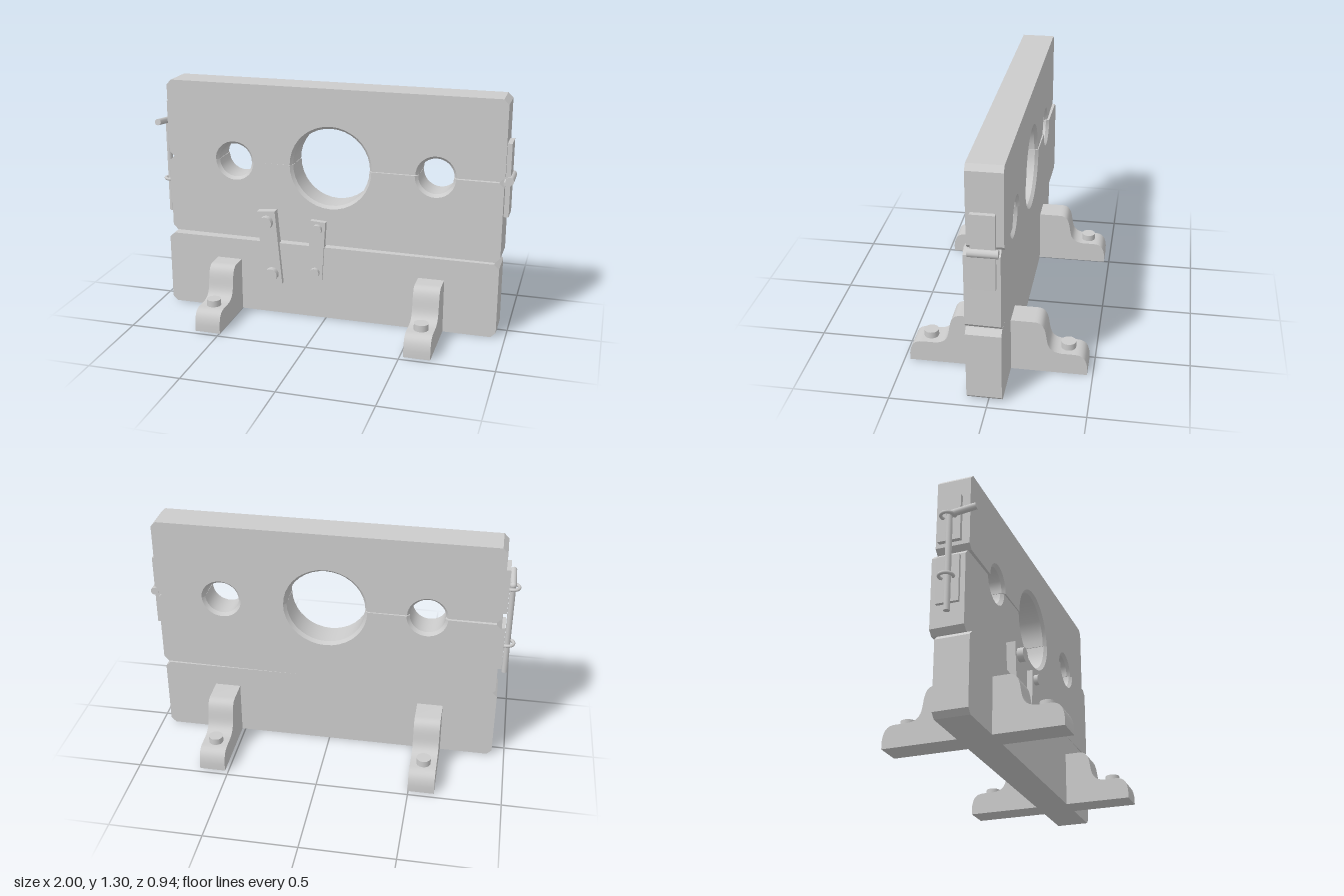
import * as THREE from 'three';
import { toCreasedNormals } from 'three/addons/utils/BufferGeometryUtils.js';

const grey = new THREE.MeshStandardMaterial({ color: 0xcccccc });

function part(parent, name, geometry, x = 0, y = 0, z = 0) {
  const mesh = new THREE.Mesh(geometry, grey);
  mesh.name = name;
  mesh.position.set(x, y, z);
  parent.add(mesh);
  return mesh;
}

const DEPTH = 0.18;
const CUT = 0.027; // clipped plank corners
const HOLES = [[-0.53, 0.095], [0.02, 0.215], [0.595, 0.095]];

// Plank with clipped corners; side = 1 cuts half holes in the top edge, -1 in the bottom edge
function plankGeometry(x0, x1, y0, y1, side = 0) {
  const s = new THREE.Shape();
  const edgeY = side > 0 ? y1 : y0;
  s.moveTo(x0, y0 + CUT);
  s.lineTo(x0 + CUT, y0);
  if (side < 0) for (const [x, r] of HOLES) {
    s.lineTo(x - r, y0);
    s.absarc(x, y0, r, Math.PI, 0, true);
  }
  s.lineTo(x1 - CUT, y0);
  s.lineTo(x1, y0 + CUT);
  s.lineTo(x1, y1 - CUT);
  s.lineTo(x1 - CUT, y1);
  if (side > 0) for (const [x, r] of [...HOLES].reverse()) {
    s.lineTo(x + r, y1);
    s.absarc(x, y1, r, 0, Math.PI, true);
  }
  s.lineTo(x0 + CUT, y1);
  s.lineTo(x0, y1 - CUT);
  const g = new THREE.ExtrudeGeometry(s, { depth: DEPTH, steps: side ? 10 : 1, bevelEnabled: false, curveSegments: 9 });
  g.translate(0, 0, -DEPTH / 2);
  // Flare the hole rims at the front and back faces
  if (side) {
    const p = g.attributes.position;
    for (let i = 0; i < p.count; i++) {
      if (Math.abs(p.getZ(i)) < DEPTH / 2 - 0.001) continue;
      for (const [x, r] of HOLES) {
        const dx = p.getX(i) - x, dy = p.getY(i) - edgeY;
        if (Math.hypot(dx, dy) > r + 0.002) continue;
        const k = (r + 0.015) / r;
        p.setXY(i, x + dx * k, edgeY + dy * k);
        break;
      }
    }
  }
  return toCreasedNormals(g, 0.5);
}

// Foot: symmetric stepped profile running front to back
function footGeometry(width) {
  const s = new THREE.Shape();
  s.moveTo(-0.47, 0);
  s.lineTo(0.47, 0);
  s.lineTo(0.47, 0.04);
  s.bezierCurveTo(0.465, 0.09, 0.45, 0.12, 0.4, 0.12);
  s.lineTo(0.335, 0.12);
  s.bezierCurveTo(0.27, 0.125, 0.262, 0.16, 0.255, 0.21);
  s.bezierCurveTo(0.247, 0.27, 0.235, 0.3, 0.19, 0.3);
  s.lineTo(-0.19, 0.3);
  s.bezierCurveTo(-0.235, 0.3, -0.247, 0.27, -0.255, 0.21);
  s.bezierCurveTo(-0.262, 0.16, -0.27, 0.125, -0.335, 0.12);
  s.lineTo(-0.4, 0.12);
  s.bezierCurveTo(-0.45, 0.12, -0.465, 0.09, -0.47, 0.04);
  const g = new THREE.ExtrudeGeometry(s, { depth: width, bevelEnabled: false, curveSegments: 8 });
  g.translate(0, 0, -width / 2);
  g.rotateY(-Math.PI / 2);
  return toCreasedNormals(g, 0.6);
}

// Cylinder between two points
function rod(parent, name, a, b, r) {
  const from = new THREE.Vector3(...a), dir = new THREE.Vector3(...b).sub(from);
  const m = part(parent, name, new THREE.CylinderGeometry(r, r, dir.length(), 12));
  m.position.copy(from).addScaledVector(dir, 0.5);
  m.quaternion.setFromUnitVectors(new THREE.Vector3(0, 1, 0), dir.normalize());
  return m;
}

// Tilted strap with two round bolt heads
function strap(parent, x, y, w, h, front, tilt, boltR, boltOut, boltGap) {
  const g = new THREE.Group();
  g.name = 'strap';
  g.position.set(x, y, 0);
  g.rotation.z = tilt;
  const back = 0.08;
  part(g, 'strapPlate', new THREE.BoxGeometry(w, h, front - back), 0, 0, (front + back) / 2);
  for (const s of [-1, 1]) {
    rod(g, 'strapBolt', [0, s * boltGap, front - 0.01], [0, s * boltGap, boltOut], boltR);
  }
  parent.add(g);
}

export function createModel() {
  const root = new THREE.Group();
  root.name = 'stocks';

  // Three planks, the middle one slightly skewed
  part(root, 'basePlank', plankGeometry(-0.93, 0.95, 0, 0.42), 0, 0, 0.02);
  const middle = part(root, 'lowerPlank', plankGeometry(-0.92, 0.955, 0.43, 0.869, 1), 0, 0, 0.002);
  middle.rotation.y = -0.018;
  part(root, 'upperPlank', plankGeometry(-0.915, 0.955, 0.871, 1.305, -1), 0, 0, 0.002);

  // Feet with bolts front and back
  for (const x of [-0.568, 0.59]) {
    part(root, 'foot', footGeometry(0.142), x, 0, 0);
    for (const z of [-0.365, 0.365]) {
      part(root, 'footBolt', new THREE.CylinderGeometry(0.039, 0.039, 0.05, 20), x, 0.131, z);
    }
  }

  // Straps tying the lower plank to the base
  strap(root, -0.32, 0.395, 0.105, 0.425, 0.135, 0.09, 0.038, 0.17, 0.152);
  strap(root, -0.053, 0.4, 0.085, 0.342, 0.122, -0.06, 0.028, 0.145, 0.128);

  // Hinge on the left end
  part(root, 'hingePlate', new THREE.BoxGeometry(0.035, 0.19, 0.12), 0.962, 0.977, 0.01);
  part(root, 'hingePlate', new THREE.BoxGeometry(0.035, 0.19, 0.12), 0.962, 0.77, 0.01);
  rod(root, 'hingePin', [0.977, 0.873, -0.065], [0.977, 0.873, 0.082], 0.022);

  // Latch on the right end: plates, rings and a bent pin
  for (const [plateY, ringY] of [[1.047, 1.05], [0.705, 0.71]]) {
    part(root, 'latchPlate', new THREE.BoxGeometry(0.035, 0.255, 0.12), -0.921, plateY, -0.01);
    const ring = part(root, 'latchRing', new THREE.TorusGeometry(0.036, 0.009, 8, 20), -0.955, ringY, -0.01);
    ring.rotation.x = Math.PI / 2;
  }
  const elbow = [-0.957, 1.055, 0.0];
  rod(root, 'latchPin', [-0.957, 0.52, 0.0], elbow, 0.016);
  rod(root, 'latchPinHandle', elbow, [-0.955, 1.073, 0.143], 0.018);
  part(root, 'latchPinElbow', new THREE.SphereGeometry(0.018, 12, 10), ...elbow);

  return root;
}
